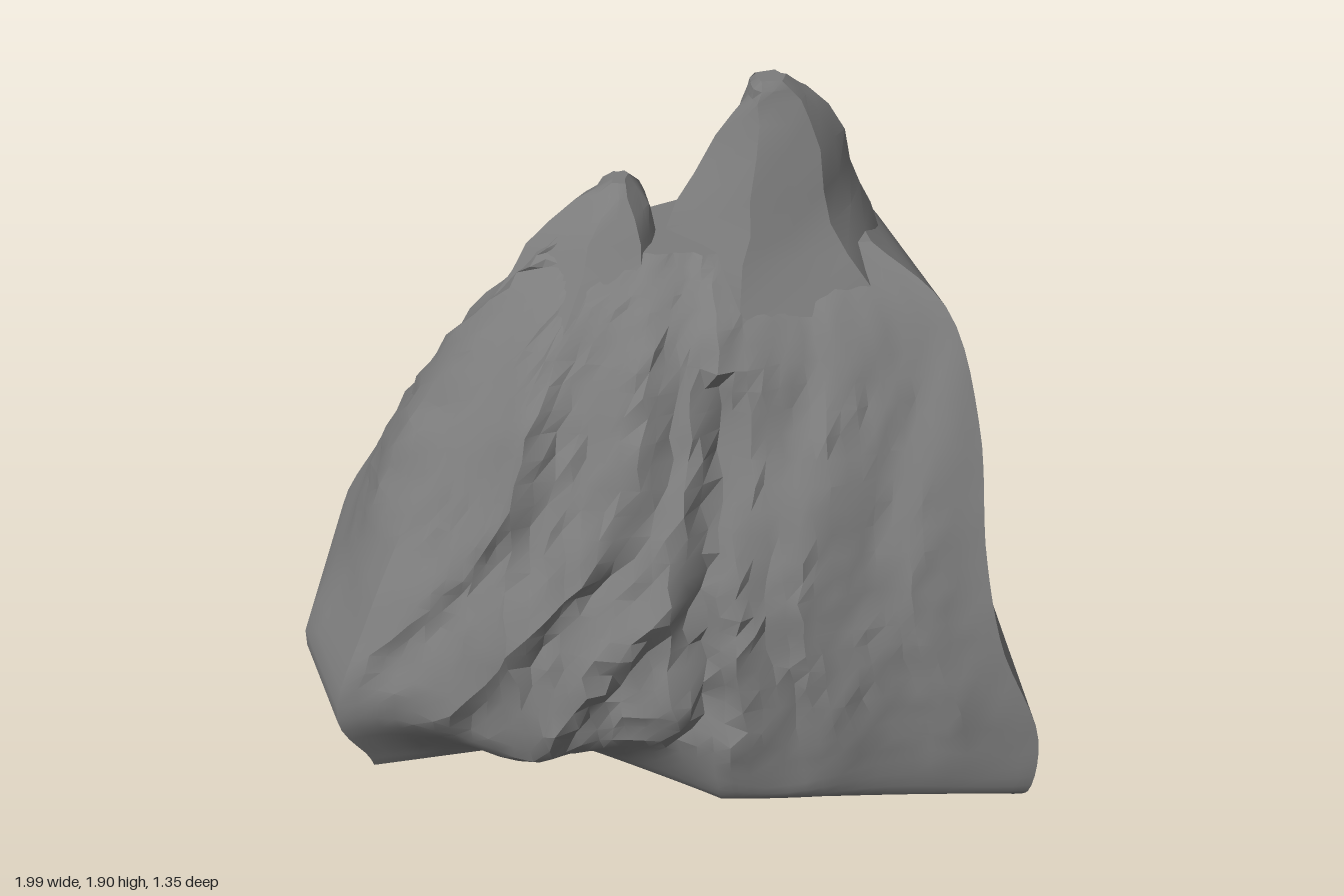
import * as THREE from 'three';
import { toCreasedNormals } from 'three/addons/utils/BufferGeometryUtils.js';
import { ConvexGeometry } from 'three/addons/geometries/ConvexGeometry.js';

const material = new THREE.MeshStandardMaterial({ color: 0x7c7c7c, side: THREE.DoubleSide });

// Repeatable noise in -0.5..0.5
const hash = (a, b) => {
  const s = Math.sin(a * 127.1 + b * 311.7) * 43758.5453;
  return s - Math.floor(s) - 0.5;
};
// Lopsided sawtooth in -0.5..0.5: slow rise, quick fall, like a rock ledge
const ledge = (t) => {
  const f = t - Math.floor(t);
  return (f < 0.75 ? f / 0.75 : (1 - f) / 0.25) - 0.5;
};
const smooth = THREE.MathUtils.smoothstep;

// Loft through levels [y, x0, z0, x1, z1, ...]; corners run left, back, right, front.
// divisions gives the steps along each side, and shape may move each point.
function loft(levels, divisions, rows, shape) {
  const sides = divisions.length;
  const rails = divisions.map((_, k) => new THREE.CatmullRomCurve3(
    levels.map((l) => new THREE.Vector3(l[1 + 2 * k], l[0], l[2 + 2 * k]))));
  const pos = [], index = [];
  let ring = 0;
  for (let r = 0; r <= rows; r++) {
    const corners = rails.map((c) => c.getPoint(r / rows));
    ring = 0;
    for (let k = 0; k < sides; k++) {
      for (let d = 0; d < divisions[k]; d++, ring++) {
        const f = d / divisions[k];
        const p = corners[k].clone().lerp(corners[(k + 1) % sides], f);
        shape(p, k + f, r, ring);
        pos.push(p.x, p.y, p.z);
      }
    }
  }
  for (let r = 0; r < rows; r++) {
    for (let i = 0; i < ring; i++) {
      const a = r * ring + i, b = r * ring + (i + 1) % ring;
      index.push(a, a + ring, b, b, a + ring, b + ring);
    }
  }
  // Caps
  for (const [row, top] of [[0, false], [rows, true]]) {
    const c = new THREE.Vector3();
    for (let i = 0; i < ring; i++) c.add(new THREE.Vector3().fromArray(pos, (row * ring + i) * 3));
    c.divideScalar(ring);
    const centre = pos.length / 3;
    pos.push(c.x, c.y, c.z);
    for (let i = 0; i < ring; i++) {
      const a = row * ring + i, b = row * ring + (i + 1) % ring;
      index.push(centre, ...(top ? [b, a] : [a, b]));
    }
  }
  const g = new THREE.BufferGeometry();
  g.setAttribute('position', new THREE.Float32BufferAttribute(pos, 3));
  g.setIndex(index);
  return toCreasedNormals(g, 0.45);
}

// Weather the front of the main mass: slanted ledges on one half, upright ribs
// on the other, and a deep gully between them.
function weatherFront(p, s, row, i) {
  const { x, y } = p;
  if (s > 4 && s < 7) {
    const edge = Math.sqrt(Math.sin(Math.PI * (s - 4) / 3));
    const w = edge * smooth(y, 0.1, 0.4) * (1 - 0.5 * smooth(y, 1.2, 1.45));
    const slanted = ledge((x - y * 0.5) * 3.4 + 0.3 * Math.sin(y * 5));
    const upright = ledge(-x * 3.2 + 0.2 * Math.sin(y * 6));
    const gullyX = 0.12 + 0.03 * Math.sin(y * 7);
    const gully = Math.max(0, 1 - Math.abs(x - gullyX) / 0.08)
      * smooth(y, 0.25, 0.5) * (1 - smooth(y, 1.15, 1.3));
    p.z += w * (0.05 * (x < gullyX ? slanted : upright) - 0.1 * gully
      + 0.025 * hash(row, i));
    p.x += w * 0.025 * hash(i, row);
    // Wavy lower lip
    p.y += edge * 0.05 * Math.sin(x * 9 + 2) * smooth(y, 0.06, 0.2) * (1 - smooth(y, 0.3, 0.5));
  } else if (s > 7 || s < 1) {
    // Rough, bulging left flank
    const w = smooth(y, 0.4, 0.9);
    p.x += w * (0.03 * hash(row, i) - 0.04 * Math.sin(Math.PI * (s % 1)));
    p.z += w * 0.03 * hash(i, row);
  }
}

const chip = (amount) => (p, s, row, i) => {
  p.x += amount * hash(row + 40, i);
  p.z += amount * hash(i, row + 40);
};

export function createModel() {
  const group = new THREE.Group();
  const add = (name, geometry) => {
    const mesh = new THREE.Mesh(geometry, material);
    mesh.name = name;
    group.add(mesh);
  };

  // Main mass: smooth cut back and right side, undercut left foot
  add('mainRock', loft([
    [0.045, -0.8, 0.1, -0.82, -0.48, -0.75, -0.62, 0.87, -0.62, 0.95, 0.55, 0.15, 0.5, -0.3, 0.3, -0.8, 0.4],
    [0.09, -0.84, 0.13, -0.86, -0.49, -0.76, -0.67, 0.89, -0.67, 0.98, 0.59, 0.15, 0.61, -0.3, 0.34, -0.81, 0.42],
    [0.28, -1, 0.14, -0.96, -0.51, -0.7, -0.67, 0.89, -0.67, 0.99, 0.6, 0.12, 0.65, -0.35, 0.61, -0.88, 0.49],
    [0.55, -0.88, 0.1, -0.83, -0.5, -0.5, -0.63, 0.82, -0.63, 0.88, 0.57, 0.1, 0.65, -0.4, 0.62, -0.79, 0.43],
    [0.8, -0.77, 0.04, -0.68, -0.48, -0.35, -0.57, 0.74, -0.57, 0.83, 0.5, 0.1, 0.6, -0.4, 0.53, -0.68, 0.34],
    [1.1, -0.62, 0, -0.42, -0.26, -0.1, -0.44, 0.67, -0.44, 0.81, 0.37, 0.1, 0.47, -0.35, 0.42, -0.53, 0.24],
    [1.36, -0.39, 0, -0.23, -0.15, 0.08, -0.33, 0.6, -0.34, 0.73, 0.21, 0.1, 0.32, -0.22, 0.28, -0.34, 0.15],
    [1.49, -0.25, 0, -0.15, -0.06, 0.12, -0.22, 0.48, -0.27, 0.54, 0.08, 0.1, 0.14, -0.15, 0.13, -0.21, 0.08],
  ], [4, 1, 6, 4, 18, 11, 10, 4], 36, weatherFront));

  // Tall summit
  add('tallPeak', loft([
    [1.28, -0.05, 0, 0.05, -0.31, 0.55, -0.34, 0.64, -0.1, 0.6, 0.25, 0.2, 0.36],
    [1.48, 0, 0, 0.08, -0.25, 0.46, -0.31, 0.57, -0.14, 0.49, 0.16, 0.2, 0.22],
    [1.6, 0.06, -0.02, 0.13, -0.2, 0.43, -0.27, 0.51, -0.12, 0.42, 0.1, 0.22, 0.16],
    [1.77, 0.16, -0.04, 0.2, -0.13, 0.39, -0.17, 0.46, -0.08, 0.4, 0.03, 0.24, 0.08],
    [1.86, 0.22, -0.04, 0.23, -0.1, 0.33, -0.11, 0.38, -0.07, 0.34, 0, 0.25, 0.03],
    [1.9, 0.24, -0.04, 0.24, -0.07, 0.28, -0.08, 0.31, -0.05, 0.3, -0.01, 0.25, 0],
  ], [2, 2, 2, 2, 2, 2], 9, chip(0.02)));

  // Lower summit beside the notch
  add('lowPeak', loft([
    [1.2, -0.53, 0.02, -0.36, -0.22, -0.08, -0.36, 0.04, 0, -0.02, 0.36, -0.3, 0.34],
    [1.36, -0.41, 0.01, -0.28, -0.17, -0.06, -0.25, 0.01, 0, -0.04, 0.28, -0.24, 0.25],
    [1.48, -0.33, 0, -0.23, -0.13, -0.05, -0.17, -0.01, 0, -0.05, 0.16, -0.2, 0.15],
    [1.58, -0.21, -0.01, -0.17, -0.1, -0.07, -0.12, -0.04, 0, -0.07, 0.08, -0.15, 0.08],
    [1.63, -0.13, -0.02, -0.12, -0.06, -0.1, -0.06, -0.09, -0.02, -0.1, 0.02, -0.12, 0.02],
  ], [2, 2, 2, 2, 2, 2], 7, chip(0.02)));

  // Thin splinter hanging under the front edge
  add('lowerSplinter', new ConvexGeometry([
    [0.02, 0, 0.13], [-0.08, 0.05, 0.4], [0.05, 0.02, 0.35], [0.1, 0.07, 0.5],
    [0.9, 0.055, 0.52], [0.1, 0.06, 0.2],
  ].map((p) => new THREE.Vector3(...p))));

  return group;
}
